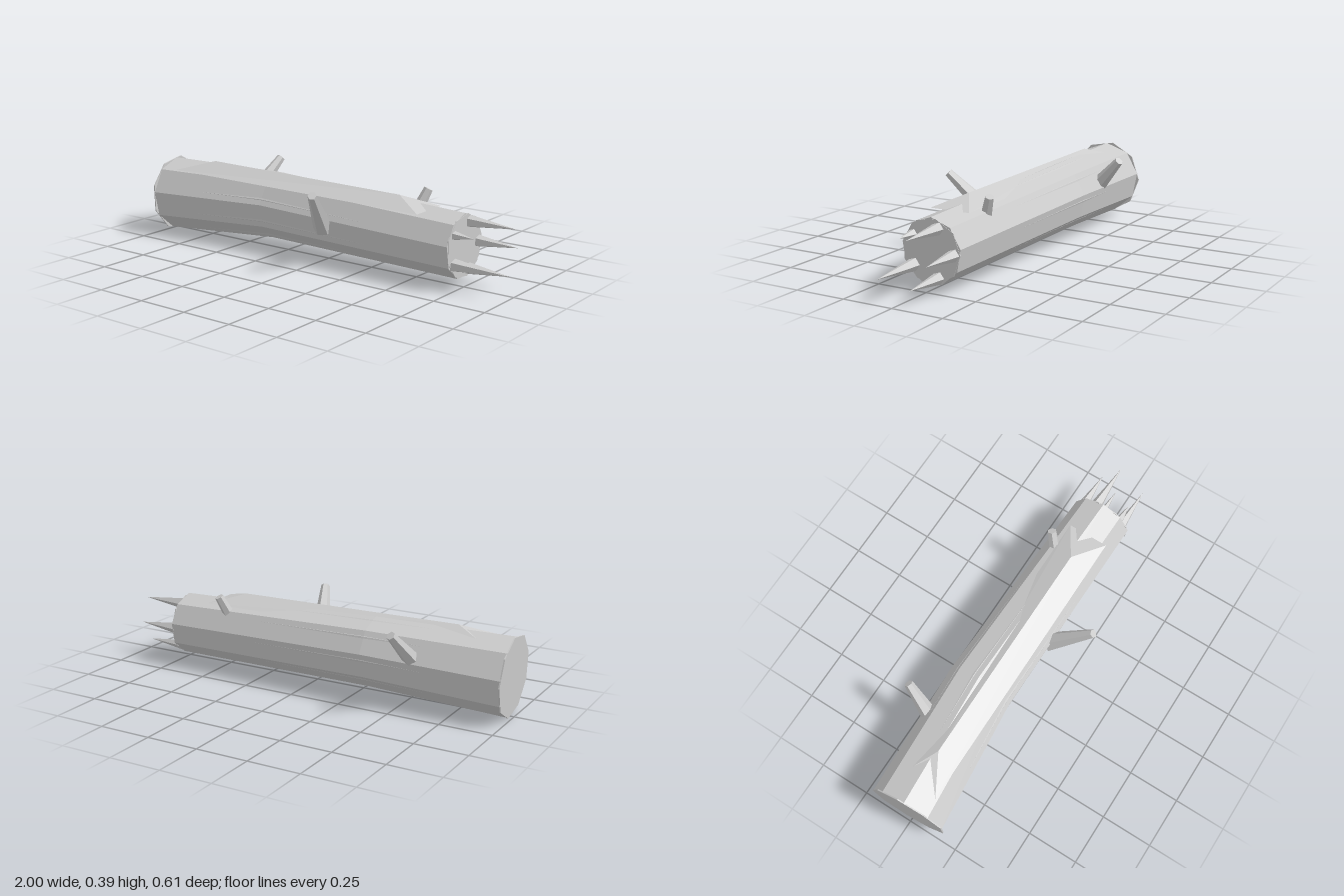
import * as THREE from 'three';

const material = new THREE.MeshStandardMaterial({ color: 0xcccccc, flatShading: true });
const SIDES = 9;

function addMesh(group, name, geometry) {
  const mesh = new THREE.Mesh(geometry, material);
  mesh.name = name;
  group.add(mesh);
  return mesh;
}

function fromTriangles(positions) {
  const g = new THREE.BufferGeometry();
  g.setAttribute('position', new THREE.Float32BufferAttribute(positions, 3));
  g.computeVertexNormals();
  return g;
}

// Capped nine-sided loft along x; station = { x, y, z, r, tilt }, turn in degrees.
function loft(stations, turn) {
  const point = (s, i) => {
    const a = THREE.MathUtils.degToRad(10 + turn + (i * 360) / SIDES);
    const c = Math.cos(a), n = Math.sin(a);
    return [s.x + (s.tilt || 0) * (c - n), s.y + s.r * n, s.z + s.r * c];
  };
  const out = [];
  const first = stations[0], last = stations[stations.length - 1];
  for (let i = 0; i < SIDES; i++) {
    for (let k = 0; k < stations.length - 1; k++) {
      const a = point(stations[k], i), b = point(stations[k + 1], i);
      const c = point(stations[k + 1], i + 1), d = point(stations[k], i + 1);
      out.push(...a, ...b, ...c, ...a, ...c, ...d);
    }
    out.push(first.x, first.y, first.z, ...point(first, i), ...point(first, i + 1));
    out.push(last.x, last.y, last.z, ...point(last, i + 1), ...point(last, i));
  }
  return fromTriangles(out);
}

// Tapered round piece running between two points.
function taper(group, name, from, to, r0, r1, sides) {
  const a = new THREE.Vector3(...from), b = new THREE.Vector3(...to);
  const dir = b.clone().sub(a);
  const geometry = new THREE.CylinderGeometry(r1, r0, dir.length(), sides);
  const mesh = addMesh(group, name, geometry);
  mesh.position.copy(a).add(b).multiplyScalar(0.5);
  mesh.quaternion.setFromUnitVectors(new THREE.Vector3(0, 1, 0), dir.normalize());
}

export function createModel() {
  const log = new THREE.Group();
  log.name = 'fallenLog';

  // Bent bark trunk
  addMesh(log, 'bark', loft([
    { x: -0.989, y: 0.19, z: 0, r: 0.183, tilt: 0.007 },
    { x: -0.33, y: 0.21, z: -0.04, r: 0.165 },
    { x: 0.735, y: 0.185, z: -0.02, r: 0.15 },
  ], 0));

  // Slightly turned inner wood whose ridges break through the bark
  addMesh(log, 'innerWood', loft([
    { x: -0.98, y: 0.19, z: 0, r: 0.173, tilt: 0.007 },
    { x: -0.33, y: 0.21, z: -0.04, r: 0.159 },
    { x: 0.73, y: 0.185, z: -0.02, r: 0.142 },
  ], 10));

  // Thin cut faces at both ends
  addMesh(log, 'leftCutFace', loft([
    { x: -0.991, y: 0.19, z: 0, r: 0.19, tilt: 0.007 },
    { x: -0.985, y: 0.19, z: 0, r: 0.19, tilt: 0.007 },
  ], 10));
  addMesh(log, 'rightCutFace', loft([
    { x: 0.731, y: 0.185, z: -0.02, r: 0.147 },
    { x: 0.737, y: 0.185, z: -0.02, r: 0.147 },
  ], 10));

  // Hipped ridge of bark along the top
  const A = [-0.9, 0.335, 0.1], B = [0.56, 0.325, 0.1];
  const C = [0.56, 0.325, -0.1], D = [-0.9, 0.335, -0.1];
  const E = [-0.72, 0.387, 0], F = [0.4, 0.373, 0];
  addMesh(log, 'topRidge', fromTriangles([
    A, B, F, A, F, E, C, D, E, C, E, F,
    D, A, E, B, C, F, A, D, C, A, C, B,
  ].flat()));

  // Broken branch stubs
  taper(log, 'frontBranch', [0.045, 0.185, 0.105], [0.125, 0.383, 0.291], 0.047, 0.021, 6);
  taper(log, 'backBranch', [-0.59, 0.185, -0.105], [-0.53, 0.383, -0.291], 0.047, 0.021, 6);
  taper(log, 'smallBranch', [0.425, 0.27, -0.1], [0.463, 0.383, -0.145], 0.029, 0.021, 6);

  // Splinters on the broken end: y, z, tip x, radius
  const splinters = [
    [0.29, -0.056, 0.97, 0.03],
    [0.183, -0.134, 0.94, 0.03],
    [0.072, -0.056, 0.95, 0.03],
    [0.116, 0.07, 1.0, 0.032],
    [0.252, 0.072, 0.835, 0.023],
  ];
  for (const [y, z, tip, r] of splinters) {
    const geometry = new THREE.ConeGeometry(r, tip - 0.73, 5);
    geometry.rotateY(-Math.PI / 2).rotateZ(-Math.PI / 2);
    // Keep one corner of each splinter pointing up
    geometry.rotateX(-Math.PI / 2);
    const mesh = addMesh(log, 'splinter', geometry);
    mesh.position.set((tip + 0.73) / 2, y, z);
  }

  return log;
}
